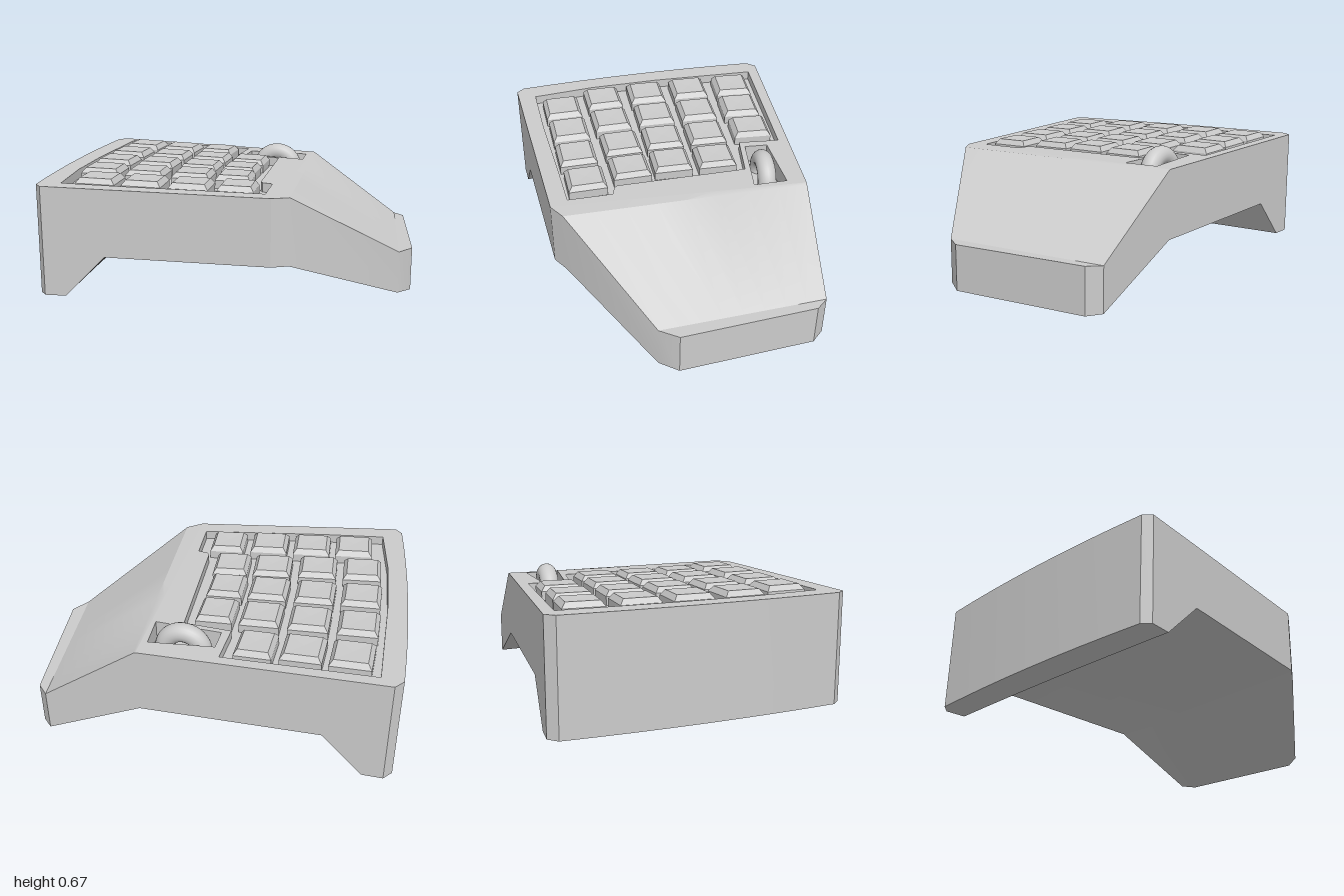
import * as THREE from 'three';
import { toCreasedNormals } from 'three/addons/utils/BufferGeometryUtils.js';

const N = 8; // samples from back to front
const topY = (x) => 0.605 - 0.025 * x;

// Stations across the body: back x, z; front x, z; top y (null = on the tilted deck), bottom y, sideways bow
const STATIONS = [
  [-1.0, -0.71, -0.86, 0.72, null, 0.05, 0.025],
  [-0.96, -0.76, -0.82, 0.76, null, 0.05, 0.025],
  [-0.85, -0.76, -0.71, 0.745, null, 0.05, 0.01],
  [-0.64, -0.76, -0.5, 0.717, null, 0.265, 0],
  [0.3, -0.76, 0.34, 0.6, null, 0.245, 0],
  [0.31, -0.76, 0.42, 0.54, 0.593, 0.24, 0],
  [0.82, -0.76, 0.93, 0.12, 0.235, 0.008, 0],
  [0.88, -0.7, 0.99, 0.02, 0.235, 0, 0],
];
const DECK_END = 4;

// Pocket outlines as x, z pairs
const KEY_POCKET = [
  [-0.89, -0.7], [-0.11, -0.705], [-0.115, -0.48], [0.14, -0.46], [0.2, 0.24], [0.215, 0.26],
  [0.27, 0.27], [0.29, 0.51], [0, 0.55], [-0.4, 0.61], [-0.755, 0.65], [-0.82, 0.3], [-0.86, -0.1],
];
const WHEEL_POCKET = [[-0.07, -0.63], [0.27, -0.66], [0.285, -0.48], [-0.07, -0.505]];

function ring(s) {
  const [bx, bz, fx, fz, ty, by, bow] = s;
  const top = [], bottom = [];
  for (let i = 0; i <= N; i++) {
    const t = i / N;
    const x = bx + (fx - bx) * t - bow * 4 * t * (1 - t);
    const z = bz + (fz - bz) * t;
    top.push([x, ty ?? topY(x), z]);
    bottom.push([x, by, z]);
  }
  return [...top, ...bottom.reverse()];
}

function quadsGeometry(quads) {
  const pos = [];
  for (const [a, b, c, d] of quads) pos.push(...a, ...b, ...c, ...a, ...c, ...d);
  const g = new THREE.BufferGeometry();
  g.setAttribute('position', new THREE.Float32BufferAttribute(pos, 3));
  return toCreasedNormals(g, 0.5);
}

// Flat sheet laid on the tilted deck plane, lowered by depth
function deckSheet(outline, holes, depth) {
  const pts = (list) => list.map(([x, z]) => new THREE.Vector2(x, -z));
  const shape = new THREE.Shape(pts(outline));
  shape.holes = holes.map((h) => new THREE.Path(pts(h)));
  const g = new THREE.ShapeGeometry(shape);
  const p = g.attributes.position;
  for (let i = 0; i < p.count; i++) p.setXYZ(i, p.getX(i), topY(p.getX(i)) - depth, -p.getY(i));
  g.computeVertexNormals();
  return g;
}

export function createModel() {
  const model = new THREE.Group();
  const solid = new THREE.MeshStandardMaterial({ color: 0xcccccc });
  const thin = new THREE.MeshStandardMaterial({ color: 0xcccccc, side: THREE.DoubleSide });
  const faceted = new THREE.MeshStandardMaterial({ color: 0xcccccc, flatShading: true });
  const add = (name, geometry, material, parent = model) => {
    const m = new THREE.Mesh(geometry, material);
    m.name = name;
    parent.add(m);
    return m;
  };

  // Shell: loft through the stations, leaving the deck open
  const rings = STATIONS.map(ring);
  const count = rings[0].length;
  const quads = [];
  for (let s = 0; s < rings.length - 1; s++) {
    for (let j = 0; j < count; j++) {
      if (s < DECK_END && j < N) continue;
      const k = (j + 1) % count;
      quads.push([rings[s][j], rings[s][k], rings[s + 1][k], rings[s + 1][j]]);
    }
  }
  const first = rings[0], last = rings[rings.length - 1];
  for (let j = 0; j < N; j++) {
    const b = count - 1 - j;
    quads.push([first[j], first[b], first[b - 1], first[j + 1]]);
    quads.push([last[j], last[j + 1], last[b - 1], last[b]]);
  }
  add('shell', quadsGeometry(quads), solid);

  // Deck with the two pocket openings
  const deck = rings.slice(0, DECK_END + 1);
  const outline = [
    ...first.slice(0, N + 1),
    ...deck.slice(1).map((r) => r[N]),
    ...deck.slice(1).reverse().map((r) => r[0]),
  ].map(([x, , z]) => [x, z]);
  add('deck', deckSheet(outline, [KEY_POCKET, WHEEL_POCKET], 0), solid);

  // Pocket floors and walls
  for (const [name, poly, depth] of [['keyPocket', KEY_POCKET, 0.05], ['wheelPocket', WHEEL_POCKET, 0.1]]) {
    add(name + 'Floor', deckSheet(poly, [], depth), solid);
    const walls = poly.map(([x, z], i) => {
      const [u, w] = poly[(i + 1) % poly.length];
      return [[x, topY(x), z], [u, topY(u), w], [u, topY(u) - depth, w], [x, topY(x) - depth, z]];
    });
    add(name + 'Walls', quadsGeometry(walls), thin);
  }

  // Keys: four-sided caps with a skirt and sloping sides, rows turning slightly
  const half = 0.104 * Math.SQRT2;
  const profile = [[0, 0], [half, 0], [half, 0.05], [half * 0.8, 0.078], [0, 0.076]]
    .map(([r, y]) => new THREE.Vector2(r, y));
  const cap = new THREE.LatheGeometry(profile, 4, Math.PI / 4);
  const rows = [
    { turn: 0.01, at: [[-0.74, -0.555], [-0.5, -0.555], [-0.265, -0.57]] },
    { turn: 0.05, at: [[-0.735, -0.285], [-0.485, -0.295], [-0.235, -0.305], [0, -0.315]] },
    { turn: 0.06, at: [[-0.715, -0.02], [-0.47, -0.04], [-0.22, -0.055], [0.01, -0.07]] },
    { turn: 0.1, at: [[-0.685, 0.245], [-0.44, 0.22], [-0.19, 0.185], [0.04, 0.16]] },
    { turn: 0.1, at: [[-0.605, 0.495], [-0.365, 0.465], [-0.12, 0.44], [0.12, 0.405]] },
  ];
  const keys = new THREE.Group();
  keys.name = 'keys';
  model.add(keys);
  rows.forEach(({ turn, at }, r) => at.forEach(([x, z], c) => {
    const key = add('key', cap, faceted, keys);
    key.position.set(x, topY(x) - 0.055, z);
    key.rotation.set(0, turn, -0.025);
    if (c === 3 || (r === 0 && c === 2)) key.scale.x = 0.92;
  }));

  // Scroll wheel
  const wheel = add('scrollWheel', new THREE.TorusGeometry(0.1, 0.05, 20, 48), solid);
  wheel.position.set(0.11, 0.522, -0.57);
  return model;
}
